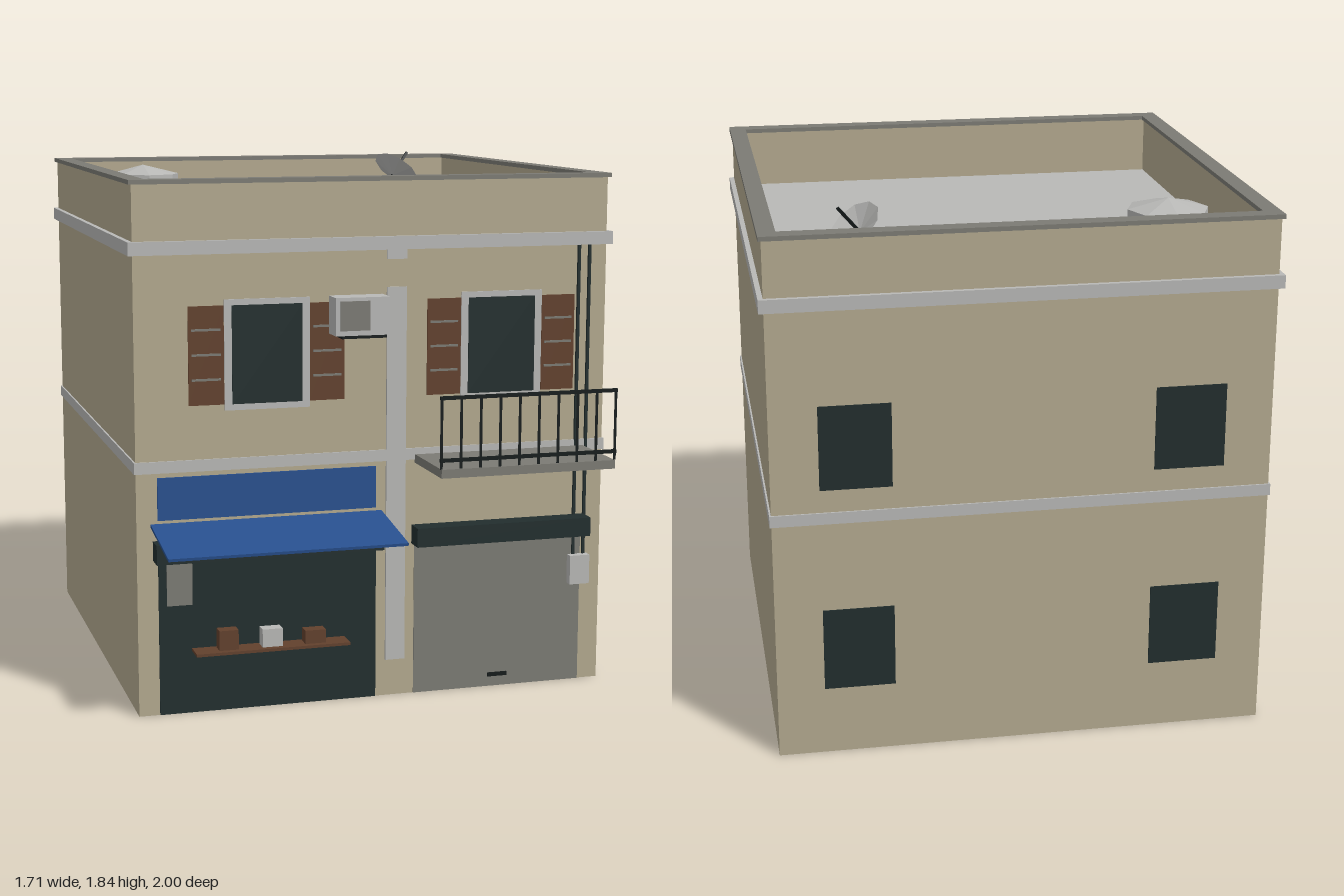
import * as THREE from 'three';

const mat = (name, color, extra = {}) => {
  const m = new THREE.MeshStandardMaterial({ color, ...extra });
  m.name = name;
  return m;
};

export function createModel() {
  const wall = mat('beige plaster', 0xb3a98f);
  const light = mat('light grey', 0xb8b8b6, { flatShading: true, side: THREE.DoubleSide });
  const grey = mat('mid grey', 0x7c7b74);
  const dark = mat('dark green grey', 0x222e2e);
  const blue = mat('awning blue', 0x28508f);
  const brown = mat('shutter brown', 0x62412d);
  const black = mat('iron black', 0x151b1b, { side: THREE.DoubleSide });

  const model = new THREE.Group();
  model.name = 'cornerShopHouse';
  const CZ = -0.145, H = 0.84, F = CZ + H; // building centre, half width, front wall plane

  const add = (name, geo, material, parent = model) => {
    const m = new THREE.Mesh(geo, material);
    m.name = name;
    parent.add(m);
    return m;
  };
  const group = (name) => {
    const g = new THREE.Group();
    g.name = name;
    model.add(g);
    return g;
  };
  // box from its limits on each axis
  const box = (name, material, x0, x1, y0, y1, z0, z1, parent) => {
    const m = add(name, new THREE.BoxGeometry(x1 - x0, y1 - y0, z1 - z0), material, parent);
    m.position.set((x0 + x1) / 2, (y0 + y1) / 2, (z0 + z1) / 2);
    return m;
  };
  // square ring around the building
  const ring = (name, material, outer, inner, y0, y1) => {
    const square = (P, r) => new P([[-r, -r], [r, -r], [r, r], [-r, r]].map((p) => new THREE.Vector2(...p)));
    const s = square(THREE.Shape, outer);
    s.holes.push(square(THREE.Path, inner));
    const g = new THREE.ExtrudeGeometry(s, { depth: y1 - y0, bevelEnabled: false });
    g.rotateX(-Math.PI / 2);
    add(name, g, material).position.set(0, y0, CZ);
  };

  // Main body, parapet and string courses
  box('body', wall, -H, H, 0, 1.595, CZ - H, F);
  box('roofFloor', light, -0.8, 0.8, 1.595, 1.6, CZ - 0.8, CZ + 0.8);
  ring('parapet', wall, H, 0.8, 1.595, 1.805);
  ring('parapetCap', grey, 0.85, 0.79, 1.805, 1.82);
  ring('upperBand', light, 0.857, 0.82, 1.573, 1.618);
  ring('lowerBand', light, 0.846, 0.82, 0.842, 0.882);
  box('pilaster', light, 0.035, 0.105, 0.13, 1.445, F - 0.01, 0.703);
  box('pilasterTop', light, 0.035, 0.105, 1.54, 1.575, F - 0.01, 0.703);

  // Back windows
  for (const x of [-0.56, 0.56])
    for (const y of [0.24, 0.96])
      box('backWindow', dark, x - 0.12, x + 0.12, y, y + 0.29, CZ - H - 0.003, CZ - H + 0.002);

  // Front windows with shutters
  for (const x of [-0.386, 0.452]) {
    const w = group('frontWindow');
    box('frame', light, x - 0.148, x + 0.148, 1.045, 1.42, F, 0.7, w);
    box('glass', dark, x - 0.122, x + 0.122, 1.066, 1.4, F, 0.702, w);
    for (const s of [-1, 1]) {
      const c = x + s * 0.21;
      box('shutter', brown, c - 0.061, c + 0.061, 1.066, 1.4, F, 0.699, w);
      for (const y of [1.152, 1.236, 1.32])
        box('shutterSlat', grey, c - 0.05, c + 0.05, y - 0.004, y + 0.004, F, 0.701, w);
    }
  }

  // Air conditioner
  const ac = group('airConditioner');
  box('case', light, -0.17, 0.02, 1.293, 1.422, F, 0.78, ac);
  box('grille', grey, -0.153, -0.05, 1.31, 1.41, 0.779, 0.783, ac);
  box('bracket', black, -0.147, 0.01, 1.283, 1.293, F, 0.78, ac);

  // Shop front, shelf and goods
  const shop = group('shopFront');
  box('shopOpening', dark, -0.768, 0, 0, 0.545, F, 0.698, shop);
  box('shopHeader', dark, -0.785, 0.01, 0.543, 0.61, F, 0.765, shop);
  box('notice', grey, -0.74, -0.652, 0.382, 0.53, F, 0.702, shop);
  box('shelf', brown, -0.655, -0.115, 0.218, 0.228, F, 0.777, shop);
  box('goods', brown, -0.572, -0.505, 0.228, 0.297, 0.711, 0.756, shop);
  box('goods', light, -0.421, -0.35, 0.228, 0.291, 0.711, 0.756, shop);
  box('goods', brown, -0.27, -0.196, 0.228, 0.275, 0.711, 0.756, shop);

  // Awning
  box('awningBoard', blue, -0.768, -0.002, 0.68, 0.826, F, 0.701);
  const awning = add('awning', new THREE.BoxGeometry(0.812, 0.01, 0.31), blue);
  awning.position.set(-0.386, 0.641, 0.846);
  awning.rotation.x = Math.atan2(0.046, 0.305);

  // Garage
  box('garageDoor', grey, 0.14, 0.765, 0, 0.545, F, 0.698);
  box('garageHeader', dark, 0.13, 0.775, 0.543, 0.61, F, 0.765);
  box('garageHandle', black, 0.418, 0.49, 0.036, 0.05, F, 0.703);

  // Service pipes and meter
  for (const x of [0.737, 0.776]) box('pipe', dark, x - 0.005, x + 0.005, 0.46, 1.575, F, 0.704);
  box('meterBox', light, 0.716, 0.79, 0.36, 0.465, F, 0.728);

  // Balcony
  const balcony = group('balcony');
  box('slab', grey, 0.14, 0.765, 0.83, 0.86, F, 0.98, balcony);
  for (const y of [0.89, 1.101]) box('rail', black, 0.135, 0.77, y - 0.006, y + 0.006, 0.97, 0.98, balcony);
  for (let i = 0; i < 10; i++)
    add('baluster', new THREE.PlaneGeometry(0.01, 0.24), black, balcony).position.set(0.14 + i * 0.0694, 0.98, 0.975);

  // Water tank
  const tank = group('waterTank');
  tank.position.set(-0.55, 1.6, -0.65);
  add('drum', new THREE.CylinderGeometry(0.14, 0.14, 0.17, 8), light, tank).position.y = 0.085;
  add('lid', new THREE.ConeGeometry(0.14, 0.035, 8), light, tank).position.y = 0.1875;

  // Satellite dish facing n, with its apex on a mast
  const n = new THREE.Vector3(0.6, 0.74, -0.31).normalize();
  const up = new THREE.Vector3(0, 1, 0);
  const apex = new THREE.Vector3(0.5, 1.745, -0.7);
  const dish = group('satelliteDish');
  box('mast', black, 0.493, 0.507, 1.6, 1.745, -0.707, -0.693, dish);
  const bowl = add('bowl', new THREE.ConeGeometry(0.1, 0.035, 10, 1, true), light, dish);
  bowl.quaternion.setFromUnitVectors(up, n.clone().negate());
  bowl.position.copy(apex).addScaledVector(n, 0.0175);
  const arm = add('arm', new THREE.BoxGeometry(0.01, 0.125, 0.01), black, dish);
  arm.quaternion.setFromUnitVectors(up, n);
  arm.position.copy(apex).addScaledVector(n, 0.0625);

  return model;
}
